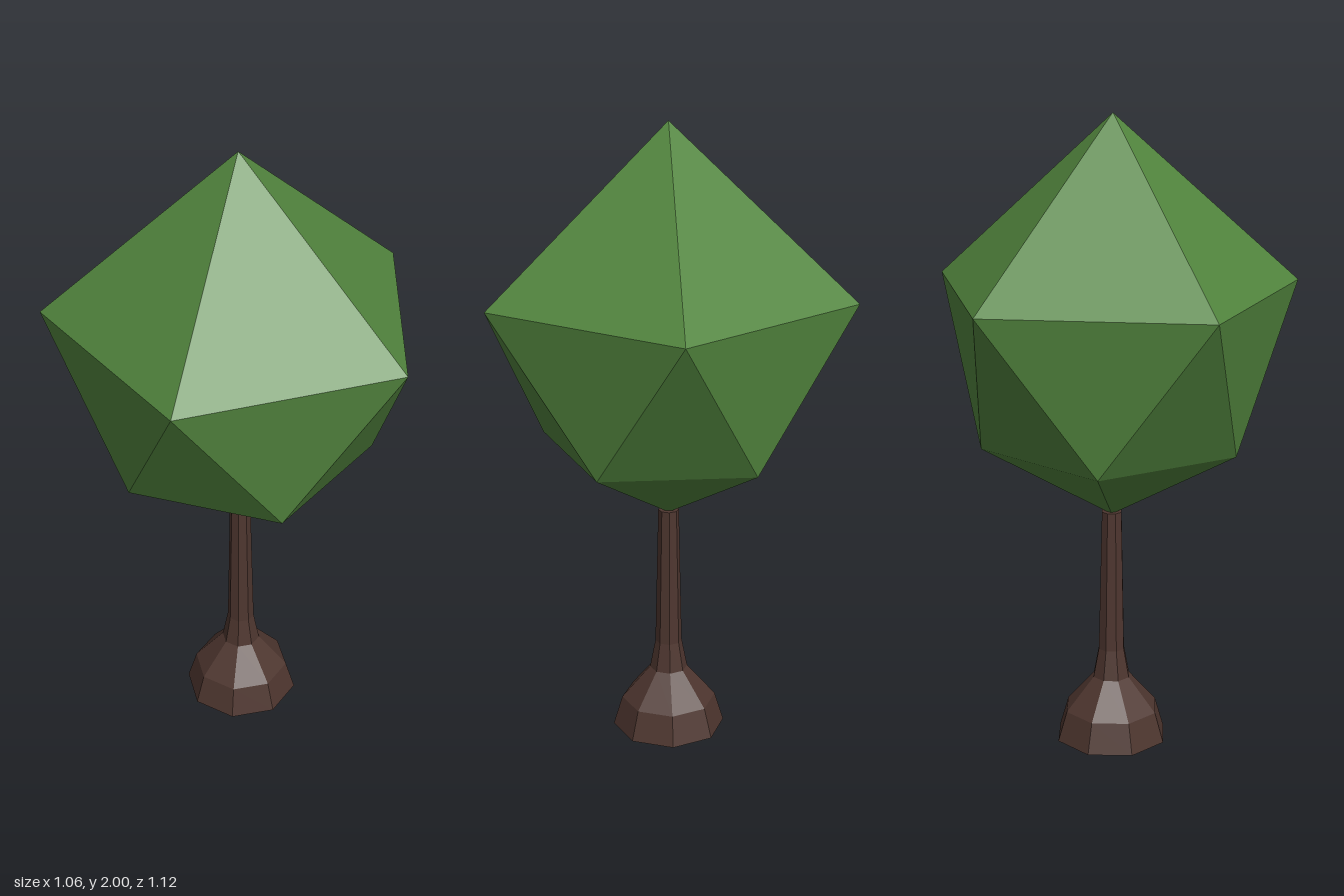
import * as THREE from 'three';

const AXIS_X = -0.057; // shared axis of trunk and crown

// Twenty-sided crown: two staggered five-point rings between two tips
function crownGeometry(topY, upperY, upperR, lowerY, lowerR, bottomY) {
  const ring = (r, y, offset) => Array.from({ length: 5 }, (_, i) => {
    const a = (i + offset) * Math.PI * 2 / 5;
    return [r * Math.cos(a), y, r * Math.sin(a)];
  });
  const top = [0, topY, 0], bottom = [0, bottomY, 0];
  const u = ring(upperR, upperY, 0), l = ring(lowerR, lowerY, 0.5);
  const positions = [];
  const tri = (a, b, c) => positions.push(...a, ...b, ...c);
  for (let i = 0; i < 5; i++) {
    const n = (i + 1) % 5;
    tri(top, u[n], u[i]);
    tri(u[n], l[i], u[i]);
    tri(l[n], l[i], u[n]);
    tri(l[n], bottom, l[i]);
  }
  const geometry = new THREE.BufferGeometry();
  geometry.setAttribute('position', new THREE.Float32BufferAttribute(positions, 3));
  geometry.computeVertexNormals();
  return geometry;
}

export function createModel() {
  const model = new THREE.Group();
  model.name = 'tree';
  const add = (name, geometry, color) => {
    const mesh = new THREE.Mesh(geometry, new THREE.MeshStandardMaterial({ color, flatShading: true }));
    mesh.name = name;
    mesh.position.x = AXIS_X;
    model.add(mesh);
  };

  // Eight-sided trunk with a flared foot, closed at both ends
  const profile = [[0, 0], [0.182, 0], [0.153, 0.097], [0.061, 0.205], [0.043, 0.3], [0.033, 0.76], [0, 0.76]];
  const points = profile.map(([r, y]) => new THREE.Vector2(r, y));
  add('trunk', new THREE.LatheGeometry(points, 8), 0x4e362f);

  // Faceted foliage
  add('crown', crownGeometry(2, 1.475, 0.588, 0.988, 0.41, 0.75), 0x52853e);

  return model;
}
